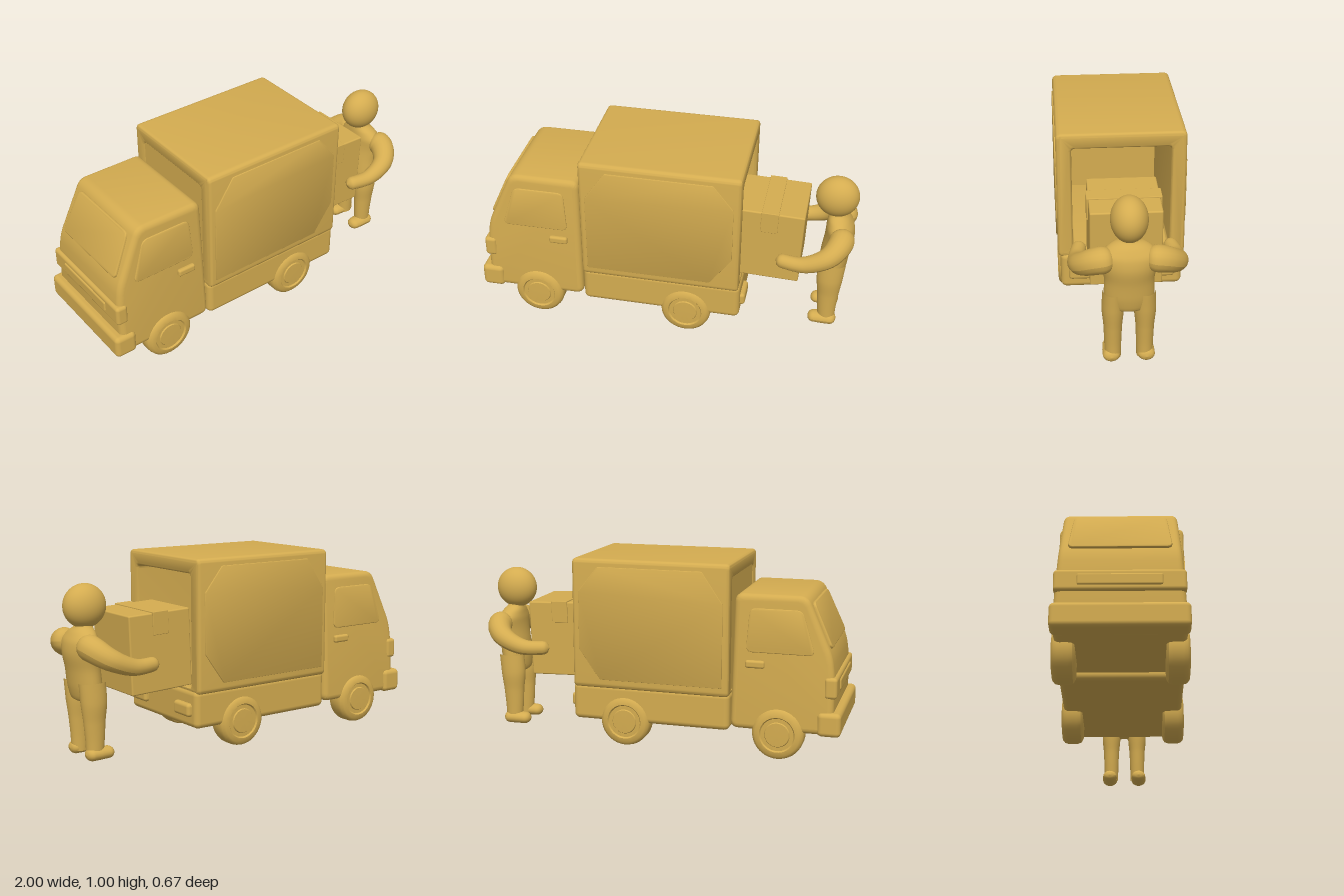
import * as THREE from 'three';
import { toCreasedNormals } from 'three/addons/utils/BufferGeometryUtils.js';
import { RoundedBoxGeometry } from 'three/addons/geometries/RoundedBoxGeometry.js';

const V = (x, y, z = 0) => new THREE.Vector3(x, y, z);

// Closed outline with every corner rounded by radius r
function outline(points, r, Type = THREE.Shape) {
  const shape = new Type();
  const p = points.map(([x, y]) => new THREE.Vector2(x, y));
  p.forEach((c, i) => {
    const a = p[(i + p.length - 1) % p.length], b = p[(i + 1) % p.length];
    const start = c.clone().add(a.clone().sub(c).setLength(r));
    const end = c.clone().add(b.clone().sub(c).setLength(r));
    if (i) shape.lineTo(start.x, start.y); else shape.moveTo(start.x, start.y);
    shape.quadraticCurveTo(c.x, c.y, end.x, end.y);
  });
  shape.closePath();
  return shape;
}

const rect = (x0, x1, y0, y1) => [[x0, y0], [x1, y0], [x1, y1], [x0, y1]];

// Bevelled extrusion of total thickness d, centred on z = 0
function slab(shape, d, bevel) {
  const geo = new THREE.ExtrudeGeometry(shape, {
    depth: d - 2 * bevel, bevelEnabled: true, bevelThickness: bevel, bevelSize: bevel,
    bevelOffset: -bevel, bevelSegments: 4, curveSegments: 8,
  });
  geo.translate(0, 0, bevel - d / 2);
  return toCreasedNormals(geo, 0.6);
}

// Cab sides lean inwards towards the roof
function taper(geo) {
  const p = geo.attributes.position;
  for (let i = 0; i < p.count; i++) p.setZ(i, p.getZ(i) * (1 - 0.17 * (p.getY(i) - 0.15)));
  return toCreasedNormals(geo, 0.6);
}

// Tube along a spline whose radius follows a list, with rounded ends
function limb(points, radii, zScale = 1) {
  const rows = 40, cols = 20;
  const curve = new THREE.CatmullRomCurve3(points);
  const geo = new THREE.TubeGeometry(curve, rows, 1, cols);
  const p = geo.attributes.position, length = curve.getLength(), v = V(0, 0);
  for (let i = 0; i < p.count; i++) {
    const u = Math.floor(i / (cols + 1)) / rows;
    const c = curve.getPointAt(u);
    const f = u * (radii.length - 1), k = Math.min(Math.floor(f), radii.length - 2);
    const r = THREE.MathUtils.lerp(radii[k], radii[k + 1], f - k);
    const e = Math.min(1, Math.min(u, 1 - u) * length / r);
    const round = Math.sqrt(1 - (1 - e) ** 2);
    v.fromBufferAttribute(p, i).sub(c).multiplyScalar(r * round);
    p.setXYZ(i, c.x + v.x, c.y + v.y, c.z + v.z * zScale);
  }
  geo.computeVertexNormals();
  return geo;
}

// Upright body from elliptical sections [y, centre x, radius x, radius z]
function loft(sections, cz = 0) {
  const rows = 36, cols = 28, pos = [], idx = [];
  const mid = new THREE.CatmullRomCurve3(sections.map((s) => V(s[1], s[0])));
  const rad = new THREE.CatmullRomCurve3(sections.map((s) => V(s[2], 0, s[3])));
  for (let j = 0; j <= rows; j++) {
    const c = mid.getPoint(j / rows), r = rad.getPoint(j / rows);
    for (let i = 0; i < cols; i++) {
      const a = (i / cols) * Math.PI * 2;
      pos.push(c.x + r.x * Math.cos(a), c.y, cz + r.z * Math.sin(a));
      if (j === rows) continue;
      const a0 = j * cols + i, a1 = j * cols + (i + 1) % cols;
      idx.push(a0, a0 + cols, a1, a1, a0 + cols, a1 + cols);
    }
  }
  const geo = new THREE.BufferGeometry();
  geo.setAttribute('position', new THREE.Float32BufferAttribute(pos, 3));
  geo.setIndex(idx);
  geo.computeVertexNormals();
  return geo;
}

export function createModel() {
  const model = new THREE.Group();
  const ochre = new THREE.MeshStandardMaterial({ color: 0xd4ac50 });
  ochre.name = 'ochre';
  const groups = {};
  for (const name of ['truck', 'parcel', 'courier']) {
    groups[name] = new THREE.Group();
    groups[name].name = name;
    model.add(groups[name]);
  }
  const { truck, parcel, courier } = groups;
  const add = (parent, name, geo, x = 0, y = 0, z = 0) => {
    const mesh = new THREE.Mesh(geo, ochre);
    mesh.name = name;
    mesh.position.set(x, y, z);
    parent.add(mesh);
    return mesh;
  };
  const block = (parent, name, x0, x1, y0, y1, z0, z1, r) =>
    add(parent, name, new RoundedBoxGeometry(x1 - x0, y1 - y0, z1 - z0, 4, r),
      (x0 + x1) / 2, (y0 + y1) / 2, (z0 + z1) / 2);

  // Chassis and cargo body, open at the rear
  block(truck, 'chassis', -0.425, 0.43, 0.13, 0.33, -0.315, 0.315, 0.03);
  const shell = outline(rect(-0.328, 0.328, 0.31, 1.0), 0.03);
  shell.holes.push(outline(rect(-0.25, 0.25, 0.335, 0.92), 0.02, THREE.Path));
  add(truck, 'cargoShell', slab(shell, 0.845, 0.018).rotateY(Math.PI / 2));
  block(truck, 'cargoFrontWall', -0.415, -0.36, 0.32, 0.98, -0.3, 0.3, 0.01);

  // Cab with bumper, lamp bar and windscreen
  const cab = outline([[-0.43, 0.15], [-0.44, 0.85], [-0.81, 0.85], [-0.945, 0.55],
    [-0.96, 0.44], [-0.96, 0.15]], 0.045);
  add(truck, 'cab', taper(slab(cab, 0.63, 0.03)));
  block(truck, 'frontBumper', -1.0, -0.88, 0.145, 0.27, -0.325, 0.325, 0.025);
  block(truck, 'lampBar', -0.975, -0.91, 0.34, 0.45, -0.31, 0.31, 0.018);
  block(truck, 'grille', -0.982, -0.95, 0.365, 0.425, -0.2, 0.2, 0.01);
  const pane = outline([[-0.25, -0.125], [0.25, -0.125], [0.225, 0.125], [-0.225, 0.125]], 0.035);
  const windscreen = slab(pane, 0.024, 0.008).rotateY(-Math.PI / 2).rotateZ(-0.423);
  add(truck, 'windscreen', windscreen, -0.879, 0.698, 0);

  const window = outline([[-0.86, 0.555], [-0.505, 0.555], [-0.52, 0.78], [-0.79, 0.78]], 0.035);
  const panel = outline([[-0.39, 0.36], [0.27, 0.36], [0.385, 0.52], [0.385, 0.83],
    [0.28, 0.96], [-0.28, 0.96], [-0.39, 0.8]], 0.008);

  // Wheel profile: radius, then distance along the axle
  const wheel = toCreasedNormals(new THREE.LatheGeometry([
    [0, -0.055], [0.11, -0.055], [0.128, -0.045], [0.135, -0.025], [0.135, 0.025], [0.13, 0.043],
    [0.115, 0.055], [0.092, 0.058], [0.086, 0.05], [0.066, 0.05], [0.062, 0.056], [0, 0.058],
  ].map(([r, h]) => new THREE.Vector2(r, h)), 40), 0.7);

  // Paired truck details
  for (const s of [1, -1]) {
    const side = s > 0 ? 'left' : 'right';
    add(truck, side + 'CargoPanel', slab(panel, 0.01, 0.003), 0, 0, s * 0.329);
    add(truck, side + 'Window', taper(slab(window, 0.014, 0.005).translate(0, 0, s * 0.315)));
    block(truck, side + 'DoorHandle', -0.605, -0.505, 0.475, 0.515,
      s * 0.302 - 0.014, s * 0.302 + 0.014, 0.012);
    block(truck, side + 'RearLamp', 0.41, 0.455, 0.19, 0.26, s * 0.205 - 0.07, s * 0.205 + 0.07, 0.018);
    for (const [name, x] of [['FrontWheel', -0.68], ['RearWheel', 0.14]]) {
      add(truck, side + name, wheel, x, 0.137, s * 0.27).rotation.x = s * Math.PI / 2;
    }
  }

  // Carton with a strip of tape folded over its top
  parcel.position.set(0.548, 0.53, 0);
  parcel.rotation.z = -0.035;
  block(parcel, 'carton', -0.18, 0.18, -0.203, 0.203, -0.178, 0.178, 0.008);
  block(parcel, 'tapeTop', -0.045, 0.045, 0.198, 0.209, -0.187, 0.187, 0.003);
  for (const s of [1, -1]) {
    block(parcel, 'tapeEnd', -0.045, 0.045, 0.09, 0.208, s * 0.182 - 0.005, s * 0.182 + 0.005, 0.003);
  }

  // Courier holding the carton
  const head = add(courier, 'head', new THREE.SphereGeometry(1, 40, 28), 0.882, 0.773, 0);
  head.scale.set(0.113, 0.112, 0.09);
  add(courier, 'torso', loft([
    [0.285, 0.885, 0.02, 0.03], [0.31, 0.886, 0.066, 0.1], [0.38, 0.892, 0.076, 0.122],
    [0.46, 0.9, 0.077, 0.12], [0.54, 0.912, 0.078, 0.13], [0.6, 0.91, 0.073, 0.14],
    [0.645, 0.9, 0.058, 0.1], [0.675, 0.89, 0.043, 0.05], [0.71, 0.885, 0.04, 0.042],
  ]));
  for (const s of [1, -1]) {
    const side = s > 0 ? 'left' : 'right';
    add(courier, side + 'Arm', limb([V(0.925, 0.59, s * 0.07), V(0.925, 0.58, s * 0.15),
      V(0.87, 0.535, s * 0.225), V(0.75, 0.487, s * 0.245), V(0.6, 0.485, s * 0.222)],
    [0.07, 0.063, 0.05, 0.04, 0.036]));
    add(courier, side + 'Leg', loft([
      [0.02, 0.885, 0.045, 0.04], [0.1, 0.883, 0.05, 0.042], [0.2, 0.884, 0.058, 0.046],
      [0.3, 0.885, 0.07, 0.054], [0.4, 0.892, 0.072, 0.05],
    ], s * 0.078));
    add(courier, side + 'Foot', limb([V(0.785, 0.032, s * 0.086), V(0.86, 0.034, s * 0.086),
      V(0.94, 0.034, s * 0.086)], [0.03, 0.034, 0.034], 1.25));
  }
  return model;
}
